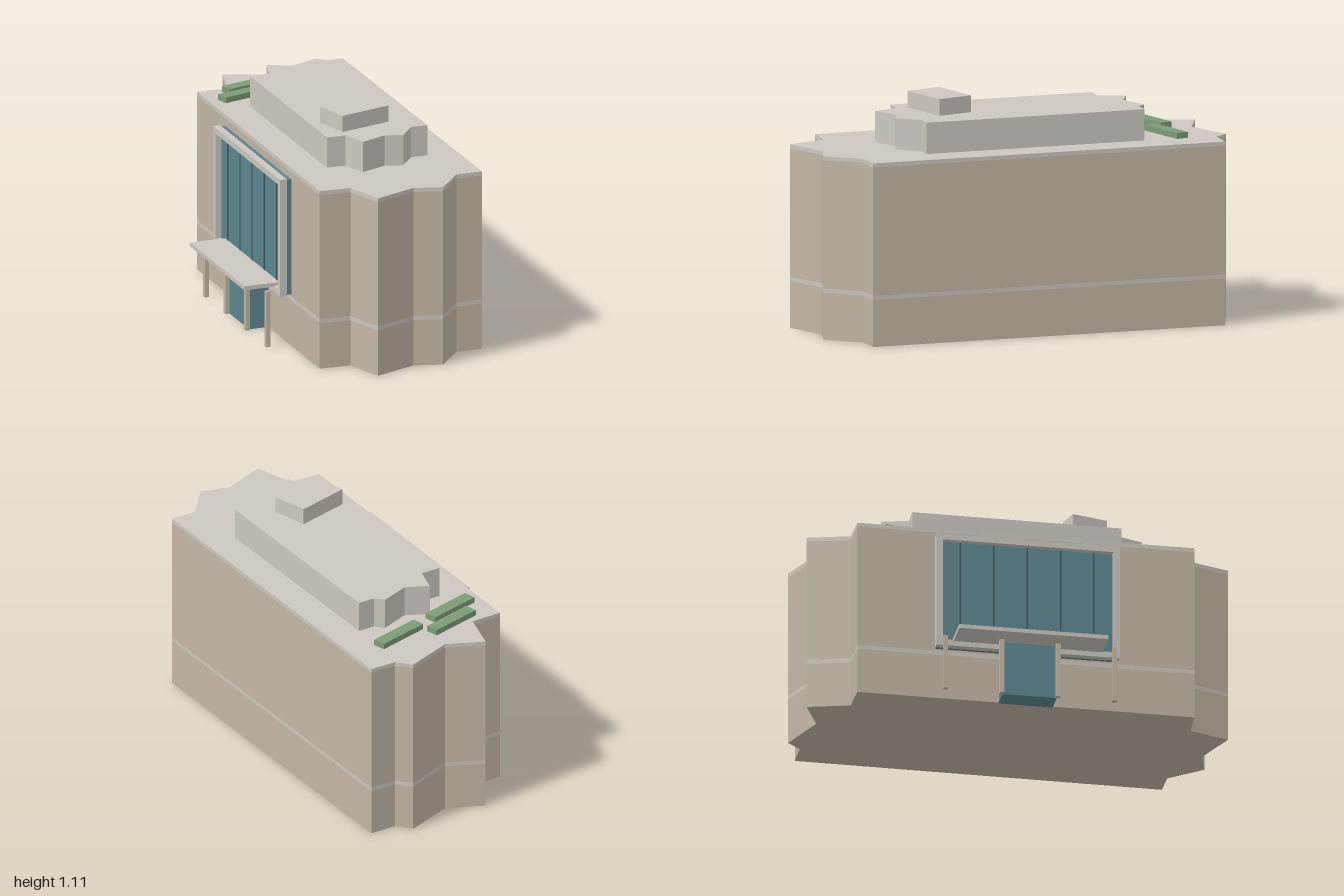
import * as THREE from 'three';

const material = (name, color) => {
  const m = new THREE.MeshStandardMaterial({ color });
  m.name = name;
  return m;
};

export function createModel() {
  const wall = material('beige wall', 0xc2b5a4);
  const concrete = material('pale concrete', 0xcbc7c0);
  const glass = material('teal glass', 0x5c858e);
  const joint = material('dark joint', 0x3f5a61);
  const green = material('planting green', 0x7d9c76);

  const model = new THREE.Group();
  model.name = 'building';

  // Upright slab from a plan outline of [x, z] points
  function slab(name, plan, y0, y1, mat) {
    const shape = new THREE.Shape(plan.map(([x, z]) => new THREE.Vector2(x, -z)));
    const geo = new THREE.ExtrudeGeometry(shape, { depth: y1 - y0, bevelEnabled: false });
    geo.rotateX(-Math.PI / 2);
    const mesh = new THREE.Mesh(geo, mat);
    mesh.name = name;
    mesh.position.y = y0;
    model.add(mesh);
  }

  // Box given by its lower and upper corners
  function box(parent, name, [x0, y0, z0], [x1, y1, z1], mat) {
    const mesh = new THREE.Mesh(new THREE.BoxGeometry(x1 - x0, y1 - y0, z1 - z0), mat);
    mesh.name = name;
    mesh.position.set((x0 + x1) / 2, (y0 + y1) / 2, (z0 + z1) / 2);
    parent.add(mesh);
  }

  // Main block with a string course and a parapet
  const mainPlan = [
    [-0.155, -0.857], [-0.005, -0.82], [0.1, -1], [0.25, -0.878], [0.5, -0.905],
    [0.54, -0.825], [0.667, -0.79], [0.21, 0.91], [0.085, 0.878], [-0.08, 0.995],
    [-0.2, 0.922], [-0.427, 0.95], [-0.44, 0.747], [-0.585, 0.7],
  ];
  slab('lowerWalls', mainPlan, 0, 0.225, wall);
  slab('stringCourse', mainPlan, 0.225, 0.245, concrete);
  slab('upperWalls', mainPlan, 0.245, 0.86, wall);
  slab('parapet', mainPlan, 0.86, 0.88, concrete);

  // Set-back storey and plant room
  const topPlan = [
    [-0.083, -0.535], [0.01, -0.508], [0.078, -0.622], [0.17, -0.543], [0.322, -0.56],
    [0.348, -0.512], [0.428, -0.49], [0.147, 0.563], [0.069, 0.54], [-0.033, 0.615],
    [-0.108, 0.568], [-0.247, 0.587], [-0.256, 0.46], [-0.345, 0.432],
  ];
  slab('setBackStorey', topPlan, 0.88, 1.03, concrete);
  box(model, 'plantRoom', [-0.237, 1.03, 0.23], [0.032, 1.11, 0.41], concrete);

  // Roof planters
  for (const [x, z] of [[-0.06, -0.79], [-0.148, -0.7], [0.21, -0.7]]) {
    box(model, 'planter', [x, 0.88, z], [x + 0.272, 0.908, z + 0.062], green);
  }

  // Entrance side: local z points out of the wall, local x runs along it
  const entrance = new THREE.Group();
  entrance.name = 'entranceSide';
  entrance.position.set(-0.37, 0, -0.0785);
  entrance.rotation.y = Math.atan2(-0.964, -0.266);
  model.add(entrance);

  // Large window with its frame
  const w = 0.439, low = 0.25, high = 0.83, bar = 0.03;
  box(entrance, 'windowGlass', [-w + 0.005, low + 0.005, -0.01], [w - 0.005, high - 0.005, 0.03], glass);
  for (const y of [low, high - bar]) {
    box(entrance, 'frameRail', [-w, y, 0.025], [w, y + bar, 0.059], concrete);
  }
  for (const x of [-w, w - bar]) {
    box(entrance, 'frameJamb', [x, low + bar, 0.025], [x + bar, high - bar, 0.059], concrete);
  }
  for (let i = -2; i <= 2; i++) {
    box(entrance, 'mullion', [i * 0.16 - 0.003, low + bar, 0.03], [i * 0.16 + 0.003, high - bar, 0.034], joint);
  }

  // Canopy, its posts and the glazed lobby
  box(entrance, 'canopy', [-0.357, 0.275, 0.01], [0.357, 0.295, 0.208], concrete);
  for (const x of [-0.405, -0.135, 0.135, 0.405]) {
    box(entrance, 'canopyPost', [x - 0.011, 0, 0.098], [x + 0.011, 0.275, 0.12], wall);
  }
  box(entrance, 'lobby', [-0.13, 0, -0.01], [0.13, 0.27, 0.097], glass);

  return model;
}
